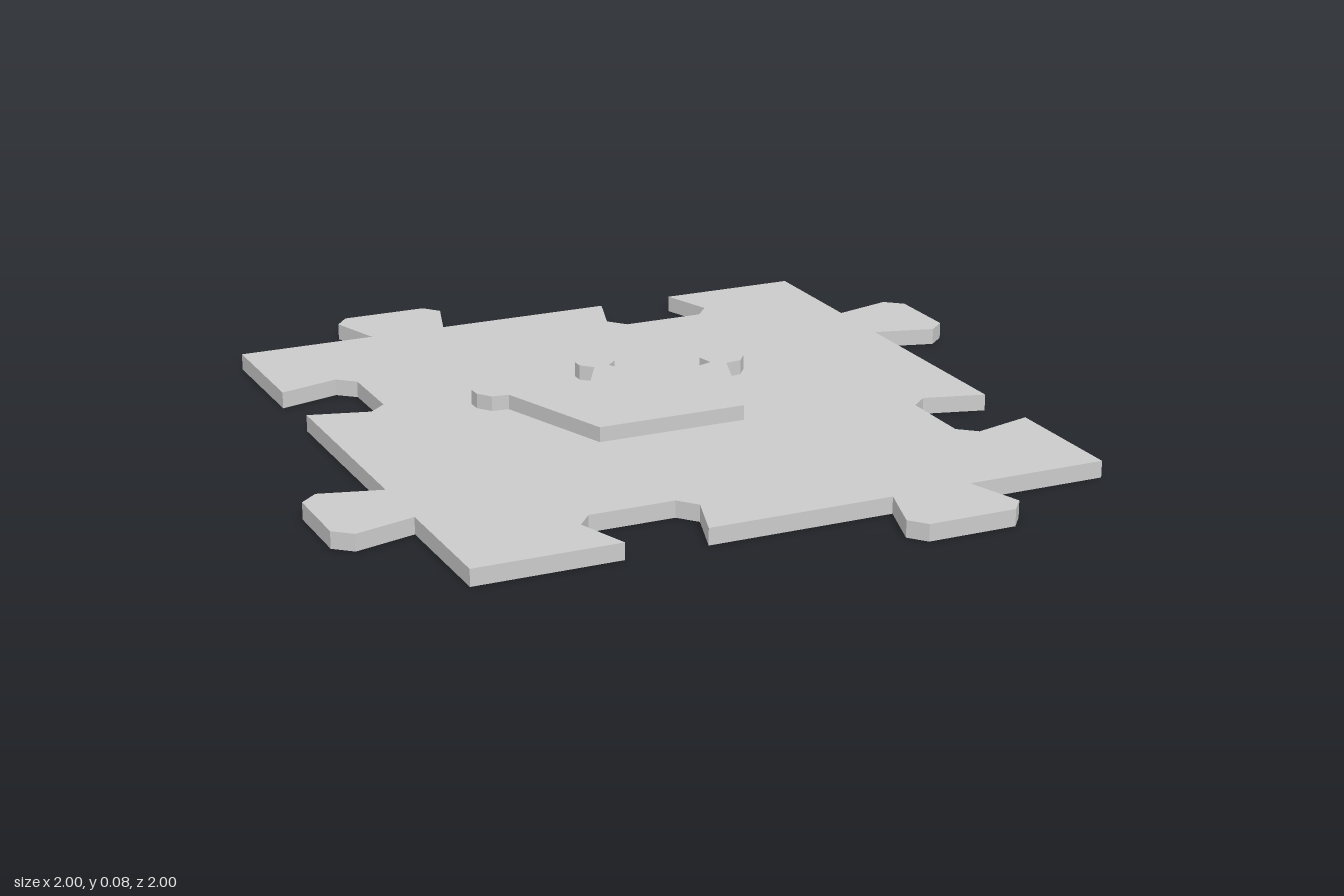
import * as THREE from 'three';

const material = new THREE.MeshStandardMaterial({ color: 0xcccccc, flatShading: true });

// Extrude an outline of [x, z] points upward from height y.
function slab(name, points, y, height) {
  const shape = new THREE.Shape(points.map(([x, z]) => new THREE.Vector2(x, -z)));
  const geometry = new THREE.ExtrudeGeometry(shape, { depth: height, bevelEnabled: false });
  geometry.rotateX(-Math.PI / 2);
  geometry.translate(0, y, 0);
  const mesh = new THREE.Mesh(geometry, material);
  mesh.name = name;
  return mesh;
}

// Dovetail knob as [along, outward] points; sign 1 is a tab, -1 a notch.
function knob(centre, sign, neck, wide, tip, shoulder, depth) {
  const half = [[neck, 0], [wide, shoulder], [tip, depth]];
  return [
    ...half.map(([a, d]) => [centre - a, sign * d]),
    ...half.reverse().map(([a, d]) => [centre + a, sign * d]),
  ];
}

export function createModel() {
  const group = new THREE.Group();
  group.name = 'puzzlePiece';
  const W = 0.8, D = 0.815;

  // Back edge and right-hand edge; the other two are the same, turned half round
  const backEdge = [
    ...knob(-0.338, 1, 0.102, 0.147, 0.112, 0.142, 0.185),
    ...knob(0.333, -1, 0.102, 0.147, 0.108, 0.138, 0.185),
  ].map(([a, d]) => [a, -D - d]);
  const sideEdge = [
    ...knob(-0.383, 1, 0.095, 0.137, 0.098, 0.155, 0.2),
    ...knob(0.378, -1, 0.095, 0.137, 0.098, 0.155, 0.2),
  ].map(([a, d]) => [W + d, a]);
  const halfOutline = [[-W, -D], ...backEdge, [W, -D], ...sideEdge];
  const outline = [...halfOutline, ...halfOutline.map(([x, z]) => [-x, -z])];
  group.add(slab('plate', outline, 0, 0.042));

  // Raised crown: right half about its own axis, then mirrored
  const axis = -0.03;
  const half = [
    [0.193, 0.2], [0.3, -0.115], [0.343, -0.12], [0.369, -0.155], [0.37, -0.19],
    [0.33, -0.22], [0.29, -0.22], [0.257, -0.183], [0.266, -0.138], [0.1, -0.08],
    [0.02, -0.225], [0.049, -0.253], [0.049, -0.283], [0.021, -0.31],
  ];
  const crown = [
    ...half.map(([x, z]) => [axis + x, z]),
    ...half.slice().reverse().map(([x, z]) => [axis - x, z]),
  ];
  group.add(slab('crownRelief', crown, 0.042, 0.038));

  return group;
}
